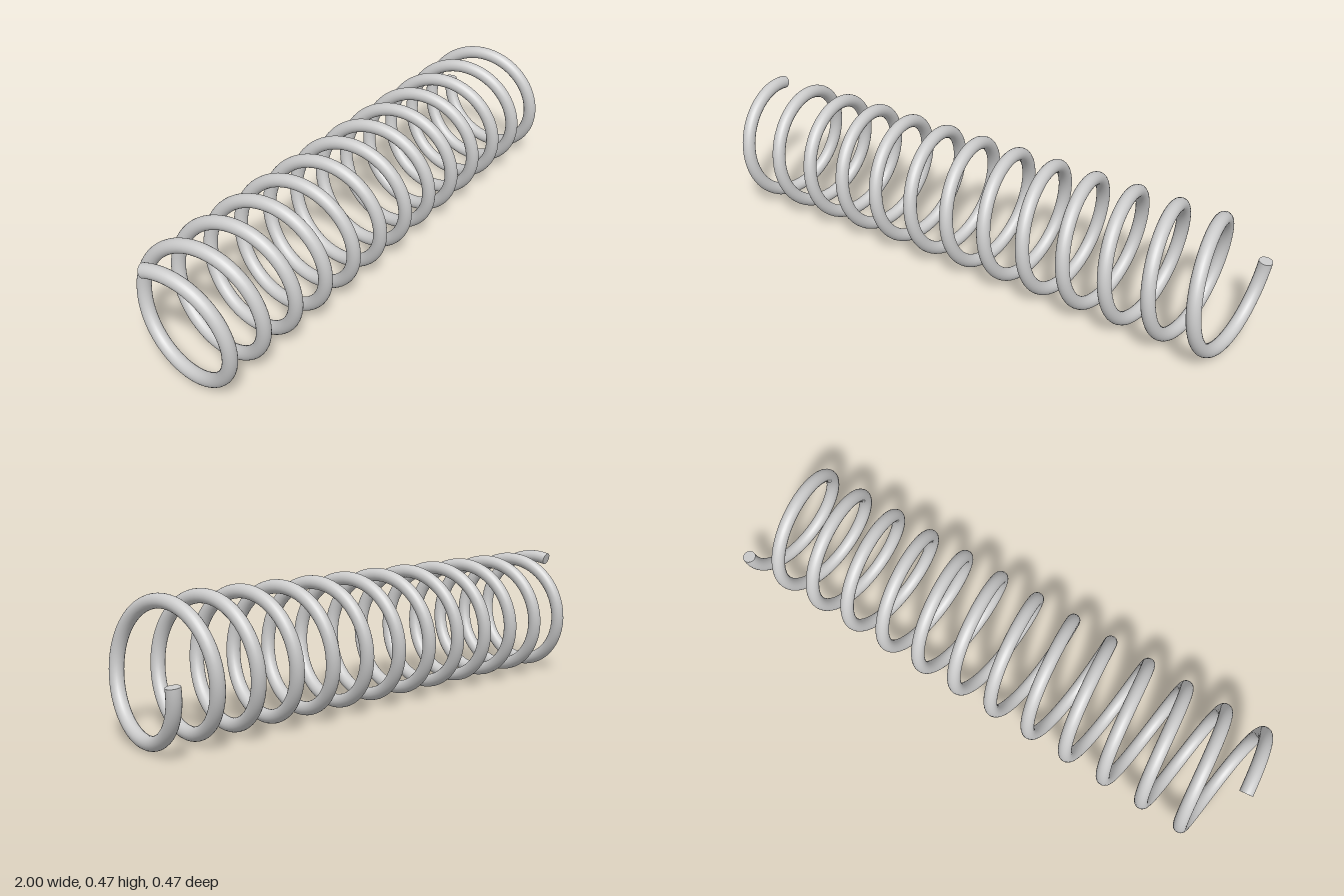
import * as THREE from 'three';

const COIL_RADIUS = 0.211, WIRE_RADIUS = 0.0237, TURNS = 12.796, LENGTH = 1.953;
const CENTRE_Y = COIL_RADIUS + WIRE_RADIUS;

// Helix along x, ending at the back (-z) on the left-hand side
class Helix extends THREE.Curve {
  getPoint(t, target = new THREE.Vector3()) {
    const a = 1.5 * Math.PI - (1 - t) * TURNS * 2 * Math.PI;
    return target.set(
      (t - 0.5) * LENGTH,
      CENTRE_Y + COIL_RADIUS * Math.cos(a),
      COIL_RADIUS * Math.sin(a)
    );
  }
}

export function createModel() {
  const group = new THREE.Group();
  group.name = 'coilSpring';
  const material = new THREE.MeshStandardMaterial({ color: 0xcccccc });
  const helix = new Helix();

  // Round wire wound into the coil
  const wire = new THREE.Mesh(new THREE.TubeGeometry(helix, 768, WIRE_RADIUS, 24), material);
  wire.name = 'coilWire';
  group.add(wire);

  // Flat discs closing the two cut ends, square to the wire
  for (const [name, t, dir] of [['rightEndCap', 0, -1], ['leftEndCap', 1, 1]]) {
    const cap = new THREE.Mesh(new THREE.CircleGeometry(WIRE_RADIUS, 24), material);
    cap.name = name;
    cap.position.copy(helix.getPoint(t));
    cap.lookAt(cap.position.clone().addScaledVector(helix.getTangent(t), dir));
    group.add(cap);
  }
  return group;
}
